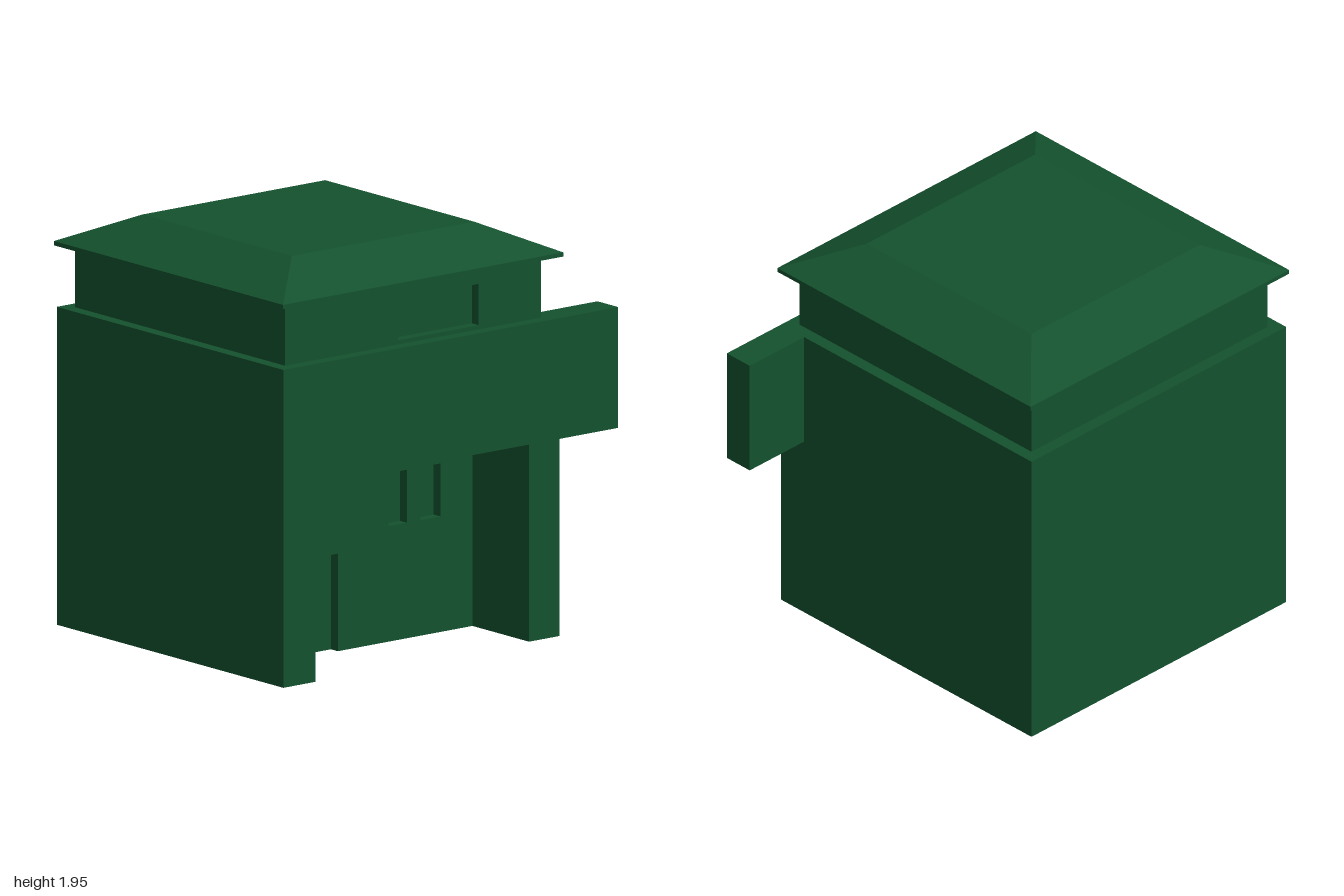
import * as THREE from 'three';

const green = new THREE.MeshStandardMaterial({ color: 0x14522e, side: THREE.DoubleSide });
const FACES = ['right', 'left', 'top', 'bottom', 'front', 'back']; // BoxGeometry face order

export function createModel() {
  const model = new THREE.Group();

  const add = (name, geometry, z = 0) => {
    const mesh = new THREE.Mesh(geometry, green);
    mesh.name = name;
    mesh.position.z = z;
    model.add(mesh);
    return mesh;
  };

  // Box between limits, with the named faces left open
  const openBox = (name, [x0, x1], [y0, y1], [z0, z1], open) => {
    const geometry = new THREE.BoxGeometry(x1 - x0, y1 - y0, z1 - z0);
    const all = Array.from(geometry.index.array);
    geometry.setIndex(FACES.flatMap((f, i) => (open.includes(f) ? [] : all.slice(i * 6, i * 6 + 6))));
    geometry.clearGroups();
    geometry.translate((x0 + x1) / 2, (y0 + y1) / 2, (z0 + z1) / 2);
    return add(name, geometry);
  };

  const rect = ([x0, x1], [y0, y1]) => [[x0, y0], [x1, y0], [x1, y1], [x0, y1]];
  const points = (list) => list.map(([x, y]) => new THREE.Vector2(x, y));

  // Flat wall in the xy plane, with rectangular openings
  const panel = (name, outline, z, holes = []) => {
    const shape = new THREE.Shape(points(outline));
    holes.forEach((h) => shape.holes.push(new THREE.Path(points(rect(...h)))));
    return add(name, new THREE.ShapeGeometry(shape), z);
  };

  // Wall with shallow niches sunk behind its openings
  const nichedWall = (name, outline, z, niches) => {
    panel(name, outline, z, niches.map((n) => [n.x, n.y]));
    niches.forEach((n) => openBox(n.name, n.x, n.y, [z - 0.05, z], ['front']));
  };

  const bodyX = [-0.99, 0.65], bodyZ = [-0.82, 0.82];
  const upperX = [-0.93, 0.59], upperZ = [-0.76, 0.76];
  const porchX = [-0.8, 0.47], porchTop = 0.93, porchBack = 0.41;
  const bodyTop = 1.5, eaveY = 1.79;

  // Ground storey, hollow and open underneath
  openBox('bodyWalls', bodyX, [0, bodyTop], bodyZ, ['front', 'top', 'bottom']);
  panel('facade', [
    [-0.99, 0], [porchX[0], 0], [porchX[0], porchTop], [porchX[1], porchTop], [porchX[1], 0],
    [0.65, 0], [0.65, porchTop], [1, porchTop], [1, bodyTop], [-0.99, bodyTop],
  ], bodyZ[1]);
  openBox('sideSign', [0.65, 1], [porchTop, bodyTop], [0.67, 0.82], ['front', 'left']);

  // Porch alcove with door and two windows
  openBox('porch', porchX, [0, porchTop], [porchBack, bodyZ[1]], ['front', 'back', 'bottom']);
  const doorX = [-0.64, -0.33], doorTop = 0.46;
  nichedWall('porchWall', [
    [porchX[0], 0], [doorX[0], 0], [doorX[0], doorTop], [doorX[1], doorTop], [doorX[1], 0],
    [porchX[1], 0], [porchX[1], porchTop], [porchX[0], porchTop],
  ], porchBack, [
    { name: 'windowRight', x: [-0.03, 0.08], y: [0.545, 0.795] },
    { name: 'windowLeft', x: [0.16, 0.28], y: [0.545, 0.795] },
  ]);
  openBox('door', doorX, [0, doorTop], [porchBack - 0.05, porchBack], ['front', 'bottom']);

  // Ledge between the storeys
  const ledge = panel('ledge', rect(bodyX, bodyZ), 0, [[upperX, upperZ]]);
  ledge.rotation.x = -Math.PI / 2;
  ledge.position.y = bodyTop;

  // Upper storey
  openBox('upperWalls', upperX, [bodyTop, eaveY], upperZ, ['front', 'top', 'bottom']);
  nichedWall('upperFront', rect(upperX, [bodyTop, eaveY]), upperZ[1], [
    { name: 'upperWindow', x: [-0.26, 0.22], y: [1.52, 1.715] },
  ]);

  // Hipped roof: rectangular rings from the wall top, out to the eave and up to the flat top
  const rings = [
    [upperX, upperZ, eaveY],
    [[-1, 0.665], [-0.83, 0.83], eaveY],
    [[-1, 0.665], [-0.83, 0.83], 1.81],
    [[-0.71, 0.375], [-0.54, 0.54], 1.945],
  ].map(([[x0, x1], [z0, z1], y]) => [[x0, y, z1], [x1, y, z1], [x1, y, z0], [x0, y, z0]]);
  const vertices = [];
  const quad = (a, b, c, d) => vertices.push(...a, ...b, ...c, ...a, ...c, ...d);
  for (let r = 0; r < rings.length - 1; r++) {
    for (let i = 0; i < 4; i++) {
      const j = (i + 1) % 4;
      quad(rings[r][i], rings[r][j], rings[r + 1][j], rings[r + 1][i]);
    }
  }
  quad(...rings[rings.length - 1]);
  const roof = new THREE.BufferGeometry();
  roof.setAttribute('position', new THREE.Float32BufferAttribute(vertices, 3));
  roof.computeVertexNormals();
  add('roof', roof);

  return model;
}
